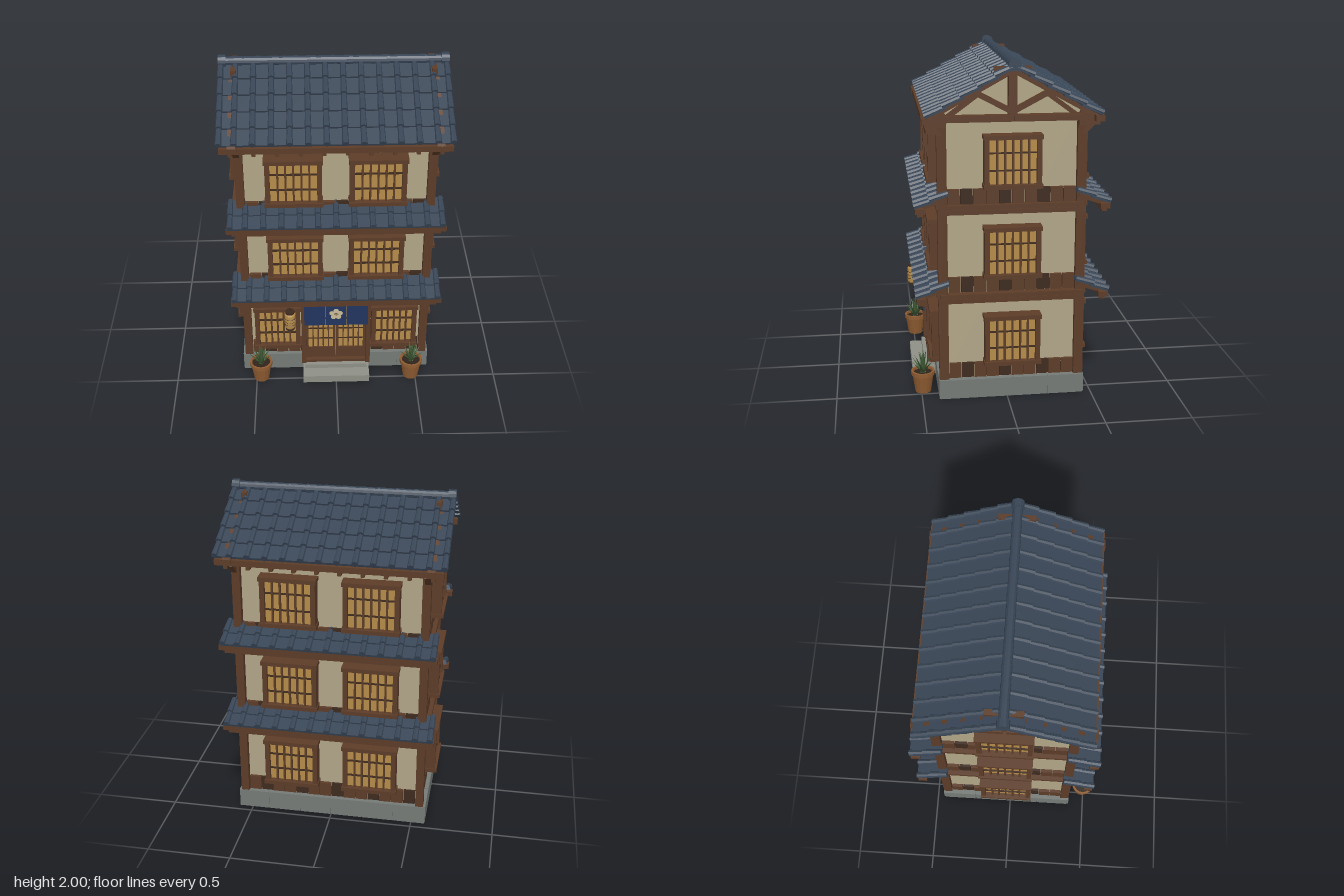
import * as THREE from 'three';

const mat = (color) => new THREE.MeshStandardMaterial({ color, flatShading: true });
const M = {
  wall: mat(0xb0a587), wood: mat(0x5c3c28), dark: mat(0x3d2a1e), paper: mat(0xb48b48),
  tile: mat(0x384555), stone: mat(0x757a76), step: mat(0x8e9086), cloth: mat(0x22345f),
  cream: mat(0xc9bb98), clay: mat(0x8f5c32), leaf: mat(0x3f5a35), soil: mat(0x2f241b),
};

function add(parent, name, geo, material, x = 0, y = 0, z = 0) {
  const m = new THREE.Mesh(geo, material);
  m.name = name;
  m.position.set(x, y, z);
  parent.add(m);
  return m;
}
const box = (parent, name, w, h, d, x, y, z, material = M.wood) =>
  add(parent, name, new THREE.BoxGeometry(w, h, d), material, x, y, z);

function group(parent, name, x = 0, y = 0, z = 0) {
  const g = new THREE.Group();
  g.name = name;
  g.position.set(x, y, z);
  parent.add(g);
  return g;
}

// Timber running between two (z, y) points at a given x
function timber(parent, name, x, z0, y0, z1, y1, w, h, material = M.wood) {
  const dz = z1 - z0, dy = y1 - y0;
  const m = box(parent, name, w, h, Math.hypot(dz, dy), x, (y0 + y1) / 2, (z0 + z1) / 2, material);
  m.rotation.x = -Math.atan2(dy, dz);
  return m;
}

// Latticed window facing +z, back on z = 0
function latticeWindow(parent, x, y, w, h, bars = 5) {
  const g = group(parent, 'window', x, y, 0);
  box(g, 'paperScreen', w - 0.03, h - 0.03, 0.05, 0, 0, 0.025, M.paper);
  for (const s of [-1, 1]) {
    box(g, 'windowJamb', 0.028, h, 0.075, s * (w / 2 - 0.02), 0, 0.037);
    box(g, 'windowRail', w, 0.024, 0.086, 0, s * (h / 2 - 0.012), 0.043);
  }
  const inner = w - 0.065;
  for (let i = 1; i <= bars; i++)
    box(g, 'latticeBar', 0.011, h - 0.03, 0.02, -inner / 2 + (inner * i) / (bars + 1), 0, 0.056);
  for (const s of [-1, 1]) box(g, 'latticeRail', inner, 0.008, 0.012, 0, s * 0.05, 0.054, M.dark);
}

// Overlapping tile courses with round ribs, falling towards +z from the origin
function tiledSlope(parent, name, y, z, width, cols, rows, len, angle) {
  const g = group(parent, name, 0, y, z);
  g.rotation.x = angle;
  const step = len / rows, pitch = width / cols;
  const slab = new THREE.BoxGeometry(pitch - 0.004, 0.014, step + 0.02);
  const rib = new THREE.CylinderGeometry(0.019, 0.015, step + 0.02, 8).rotateX(Math.PI / 2);
  for (let r = 0; r < rows; r++) {
    const course = group(g, 'tileCourse', 0, 0, (r + 0.5) * step);
    course.rotation.x = -0.1;
    for (let c = 0; c < cols; c++)
      add(course, 'roofTile', slab, M.tile, (c + 0.5 - cols / 2) * pitch, 0, 0);
    for (let c = 0; c <= cols; c++)
      add(course, 'ribTile', rib, M.tile, THREE.MathUtils.clamp((c - cols / 2) * pitch, 0.018 - width / 2, width / 2 - 0.018), 0.008, 0);
  }
}

function stoneBase(body) {
  box(body, 'baseCore', 1.16, 0.112, 0.845, 0, 0.056, 0, M.stone);
  for (const s of [-1, 1]) {
    for (let i = 0; i < 6; i++) box(body, 'baseStone', 0.19, 0.116, 0.02, (i - 2.5) * 0.195, 0.058, s * 0.418, M.stone);
    for (let i = 0; i < 4; i++) box(body, 'baseStone', 0.02, 0.116, 0.205, s * 0.575, 0.058, (i - 1.5) * 0.21, M.stone);
  }
}

// Boards, windows and belt beams on one side of the house
function facade(body, angle, dist, half, front) {
  const side = group(body, 'facade');
  side.rotation.y = angle;
  const face = group(side, 'wallFace', 0, 0, dist);
  const long = half > 0.45;
  for (const [f, y] of [0.165, 0.695, 1.215].entries()) {
    const n = long ? 14 : 10, pitch = (2 * half - 0.04) / n;
    for (let i = 0; i < n; i++)
      box(face, 'skirtBoard', pitch - 0.004, 0.09, i % 3 === 1 ? 0.022 : 0.03, (i + 0.5 - n / 2) * pitch, y, 0.005, i % 3 === 1 ? M.dark : M.wood);
    const wy = [0.362, 0.893, 1.42][f];
    if (!long) latticeWindow(face, 0, wy, 0.335, 0.305);
    else for (const s of [-1, 1])
      front && f === 0 ? latticeWindow(face, s * 0.36, wy, 0.29, 0.315) : latticeWindow(face, s * 0.24, wy, 0.335, 0.305);
  }
  for (const y of [0.6, 1.128]) {
    box(face, 'beltBeam', 2 * half + 0.07, 0.026, 0.07, 0, y, 0, M.wood);
    box(face, 'beltBeam', 2 * half + 0.05, 0.026, 0.09, 0, y + 0.031, 0, M.wood);
  }
  box(face, 'topBeam', 2 * half + 0.07, 0.036, 0.08, 0, 1.662, 0);
}

// Eaves, rafters and main roof slope for one long side
function roofSide(body, angle) {
  const g = group(body, 'roofSide');
  g.rotation.y = angle;
  for (const y of [0.72, 1.248]) {
    tiledSlope(g, 'eaveRoof', y, 0.375, 1.25, 12, 2, 0.185, 0.4);
    box(g, 'eaveBeam', 1.26, 0.03, 0.055, 0, y - 0.093, 0.525);
    box(g, 'eaveLowerBeam', 1.2, 0.022, 0.03, 0, y - 0.118, 0.525);
    for (let i = 0; i < 12; i++)
      timber(g, 'eaveRafter', (i - 5.5) * 0.105, 0.38, y - 0.035, 0.53, y - 0.085, 0.022, 0.024);
  }
  tiledSlope(g, 'mainRoof', 1.955, 0, 1.325, 13, 5, 0.55, 0.51);
  box(g, 'eavePurlin', 1.29, 0.034, 0.05, 0, 1.66, 0.48);
  for (let i = 0; i < 10; i++) {
    const x = (i - 4.5) * 0.13;
    timber(g, 'roofRafter', x, 0.38, 1.7, 0.49, 1.645, 0.024, 0.03);
    box(g, 'rafterStub', 0.022, 0.03, 0.12, x, 1.633, 0.43);
  }
  for (const s of [-1, 1]) {
    // Gable framing
    timber(g, 'bargeBoard', s * 0.575, 0, 1.935, 0.5, 1.66, 0.045, 0.042);
    timber(g, 'gableStrut', s * 0.555, 0.01, 1.7, 0.2, 1.8, 0.04, 0.03);
    timber(g, 'gableBrace', s * 0.555, 0.37, 1.665, 0.2, 1.79, 0.035, 0.026);
    box(g, 'ridgeBlock', 0.032, 0.045, 0.09, s * 0.57, 1.925, 0.06);
    box(g, 'tieBeam', 0.05, 0.035, 0.5, s * 0.57, 1.662, 0.26);
    box(g, 'cornerPost', 0.048, 1.56, 0.055, s * 0.547, 0.88, 0.397);
    timber(g, 'cornerBracket', s * 0.555, 0.4, 1.57, 0.48, 1.645, 0.035, 0.026);
  }
}

function entrance(body) {
  const g = group(body, 'entrance', 0, 0, 0.388);
  for (const s of [-1, 1]) {
    box(g, 'doorPost', 0.028, 0.51, 0.09, s * 0.2, 0.335, 0.045);
    const door = group(g, 'slidingDoor', s * 0.094, 0, 0.03);
    box(door, 'doorPaper', 0.18, 0.42, 0.03, 0, 0.38, 0, M.paper);
    box(door, 'doorPanel', 0.18, 0.1, 0.045, 0, 0.13, 0);
    for (const e of [-1, 1]) box(door, 'doorStile', 0.015, 0.5, 0.046, e * 0.084, 0.335, 0);
    for (let i = 1; i < 5; i++) box(door, 'doorBar', 0.008, 0.41, 0.04, -0.08 + i * 0.032, 0.38, 0);
    for (const y of [0.25, 0.33, 0.41]) box(door, 'doorRail', 0.17, 0.008, 0.036, 0, y, 0, M.dark);
  }
  box(g, 'doorLintel', 0.43, 0.025, 0.1, 0, 0.585, 0.05);
  box(g, 'doorSill', 0.4, 0.02, 0.08, 0, 0.088, 0.04);
  box(g, 'lowerStep', 0.415, 0.05, 0.17, 0, 0.025, 0.095, M.step);
  box(g, 'upperStep', 0.39, 0.08, 0.1, 0, 0.04, 0.055, M.step);
  // Split curtain with a flower
  for (const i of [-1, 0, 1]) box(g, 'curtainPanel', 0.128, 0.172, 0.008, i * 0.131, 0.494, 0.105, M.cloth);
  for (let i = 0; i < 5; i++) {
    const a = (i / 5) * Math.PI * 2 + Math.PI / 2;
    add(g, 'flowerPetal', new THREE.CircleGeometry(0.017, 14), M.cream, Math.cos(a) * 0.026, 0.495 + Math.sin(a) * 0.026, 0.111);
  }
  add(g, 'flowerCentre', new THREE.CircleGeometry(0.009, 12), M.paper, 0, 0.495, 0.112);
}

function lantern(parent) {
  const g = group(parent, 'lantern', -0.28, 0.49, 0.508);
  const profile = [[0.024, -0.06], [0.033, -0.045], [0.036, 0], [0.033, 0.045], [0.024, 0.06]].map((p) => new THREE.Vector2(...p));
  add(g, 'lanternPaper', new THREE.LatheGeometry(profile, 16), M.paper);
  for (const y of [-0.022, 0, 0.022])
    add(g, 'lanternHoop', new THREE.TorusGeometry(0.0355, 0.0015, 5, 16).rotateX(Math.PI / 2), M.dark, 0, y, 0);
  for (const s of [-1, 1]) add(g, 'lanternCap', new THREE.CylinderGeometry(0.027, 0.027, 0.014, 16), M.dark, 0, s * 0.062, 0);
  add(g, 'lanternCord', new THREE.CylinderGeometry(0.003, 0.003, 0.06, 6), M.dark, 0, 0.095, 0);
}

function pottedPlant(parent, x) {
  const g = group(parent, 'pottedPlant', x, 0, 0.49);
  const profile = [[0, 0.01], [0.047, 0.01], [0.063, 0.118], [0.07, 0.118], [0.07, 0.142], [0.058, 0.142], [0.056, 0.125]].map((p) => new THREE.Vector2(...p));
  const clay = M.clay.clone();
  clay.side = THREE.DoubleSide;
  add(g, 'pot', new THREE.LatheGeometry(profile, 16), clay);
  add(g, 'soil', new THREE.CircleGeometry(0.058, 16).rotateX(-Math.PI / 2), M.soil, 0, 0.128, 0);
  const leaf = new THREE.ConeGeometry(0.016, 0.14, 4).translate(0, 0.07, 0).scale(1, 1, 0.35);
  for (let i = 0; i < 18; i++) {
    const tier = i % 3, pivot = group(g, 'leafPivot', 0, 0.125, 0);
    pivot.rotation.y = i * 2.4;
    const m = add(pivot, 'leaf', leaf, M.leaf);
    m.rotation.x = 0.15 + tier * 0.27;
    m.scale.y = 1 - tier * 0.1;
  }
}

export function createModel() {
  const model = new THREE.Group();
  model.name = 'townHouse';
  const body = group(model, 'house', 0, 0, -0.028);

  stoneBase(body);
  // Walls with gable ends
  const outline = new THREE.Shape([[-0.388, 0.11], [0.388, 0.11], [0.388, 1.7], [0, 1.925], [-0.388, 1.7]].map((p) => new THREE.Vector2(...p)));
  const walls = new THREE.ExtrudeGeometry(outline, { depth: 1.08, bevelEnabled: false });
  add(body, 'plasterWalls', walls.rotateY(Math.PI / 2).translate(-0.54, 0, 0), M.wall);

  for (const [i, angle] of [0, Math.PI / 2, Math.PI, -Math.PI / 2].entries())
    facade(body, angle, i % 2 ? 0.54 : 0.388, i % 2 ? 0.388 : 0.54, i === 0);
  for (const angle of [0, Math.PI]) roofSide(body, angle);

  // Ridge tiles and end caps
  for (let i = 0; i < 12; i++)
    add(body, 'ridgeTile', new THREE.CylinderGeometry(0.026, 0.029, 0.112, 12).rotateZ(Math.PI / 2), M.tile, (i - 5.5) * 0.105, 1.962, 0);
  for (const s of [-1, 1]) {
    add(body, 'ridgeCap', new THREE.CylinderGeometry(0.036, 0.036, 0.045, 12).rotateZ(Math.PI / 2), M.tile, s * 0.637, 1.964, 0);
    box(body, 'kingPost', 0.045, 0.25, 0.048, s * 0.56, 1.8, 0);
  }

  entrance(body);
  lantern(model);
  for (const s of [-1, 1]) pottedPlant(model, s * 0.47);
  return model;
}
